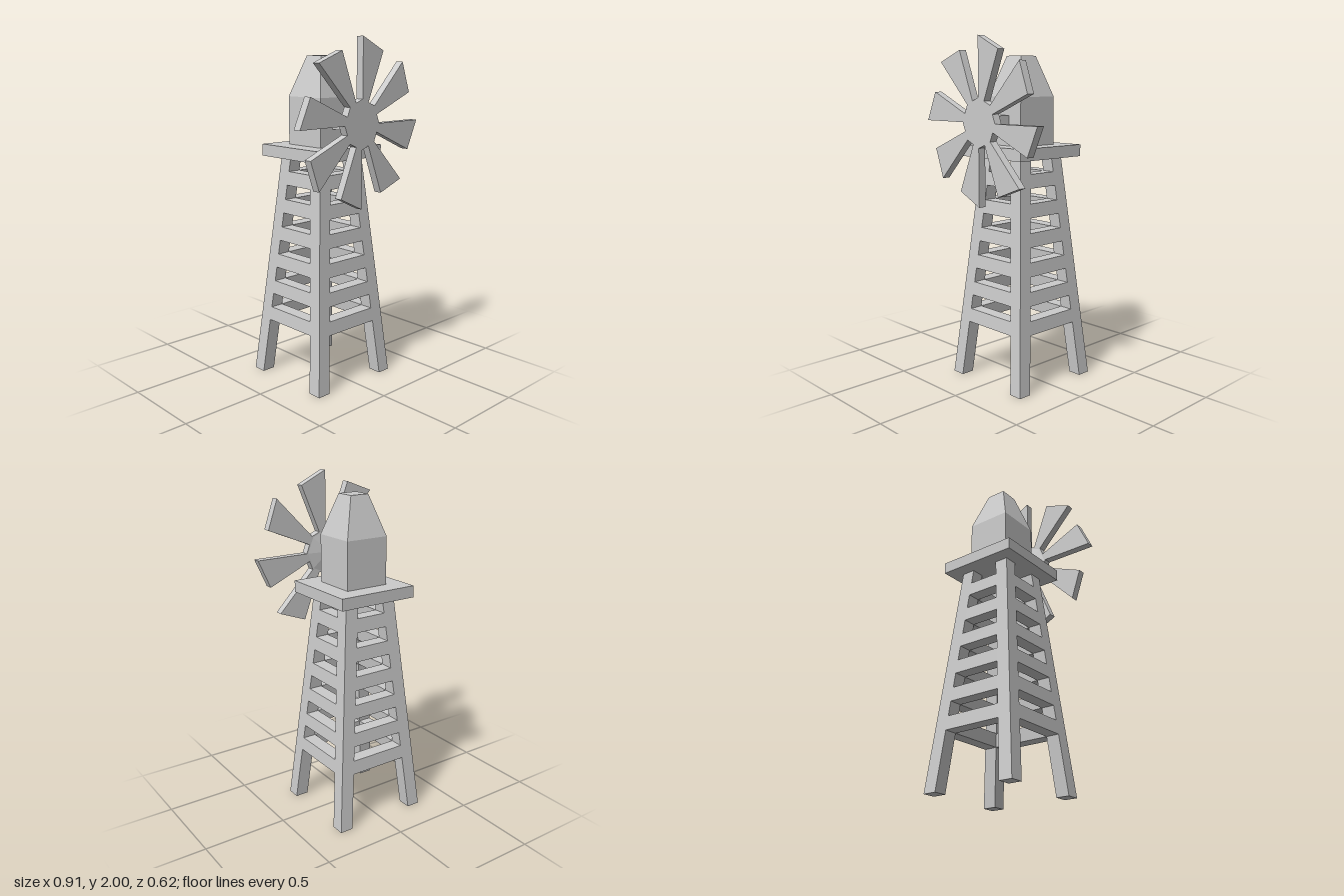
import * as THREE from 'three';

const material = new THREE.MeshStandardMaterial({ color: 0xcccccc, flatShading: true });

function addMesh(parent, name, geometry) {
  const mesh = new THREE.Mesh(geometry, material);
  mesh.name = name;
  parent.add(mesh);
  return mesh;
}

// Six-sided block between a lower and an upper rectangle, each [xMin, xMax, zMin, zMax]
function block(y0, y1, lower, upper) {
  const geo = new THREE.BoxGeometry(1, 1, 1);
  const p = geo.attributes.position;
  for (let i = 0; i < p.count; i++) {
    const top = p.getY(i) > 0;
    const r = top ? upper : lower;
    p.setXYZ(i, p.getX(i) < 0 ? r[0] : r[1], top ? y1 : y0, p.getZ(i) < 0 ? r[2] : r[3]);
  }
  geo.computeVertexNormals();
  return geo;
}

const square = (h) => [-h, h, -h, h];

export function createModel() {
  const model = new THREE.Group();
  model.name = 'windmill';

  // Tower, cabin and roof share one axis slightly behind the origin
  const tower = new THREE.Group();
  tower.name = 'tower';
  tower.position.z = -0.02;
  model.add(tower);

  const legTop = 1.33, legWidth = 0.08;
  const outer = (y) => 0.29 - (0.127 * y) / legTop;
  const inner = (y) => outer(y) - legWidth;
  const legRect = (y) => [inner(y), outer(y), inner(y), outer(y)];
  const rungRect = (y) => [-inner(y), inner(y), inner(y), outer(y)];

  // Four leaning legs and six rungs on each side
  for (let side = 0; side < 4; side++) {
    const turn = (side * Math.PI) / 2;
    addMesh(tower, 'leg', block(0, legTop, legRect(0), legRect(legTop))).rotation.y = turn;
    for (let k = 0; k < 6; k++) {
      const y0 = 0.335 + k * 0.165, y1 = y0 + 0.08;
      addMesh(tower, 'rung', block(y0, y1, rungRect(y0), rungRect(y1))).rotation.y = turn;
    }
  }

  addMesh(tower, 'platform', block(1.325, 1.393, square(0.243), square(0.243)));
  addMesh(tower, 'cabin', block(1.393, 1.668, square(0.132), square(0.132)));
  addMesh(tower, 'roof', block(1.668, 1.897, square(0.132), square(0.058)));

  // Shaft and rotor, the rotor a little narrower than tall
  const rotor = new THREE.Group();
  rotor.name = 'rotor';
  rotor.position.y = 1.528;
  model.add(rotor);

  addMesh(rotor, 'shaft', new THREE.BoxGeometry(0.074, 0.074, 0.15)).position.z = 0.175;

  const hub = addMesh(rotor, 'hubCone',
    new THREE.CylinderGeometry(0.13, 0.048, 0.014, 8).rotateX(Math.PI / 2));
  hub.position.z = 0.253;
  hub.scale.x = 0.963;

  // One outline: each blade has a radial edge and a flared edge
  const blade = [[0, 0.139], [0, 0.472], [0.166, 0.395], [0.048, 0.12]];
  const outline = [];
  for (let i = 0; i < 8; i++) {
    for (const [x, y] of blade) {
      outline.push(new THREE.Vector2(x, y).rotateAround(new THREE.Vector2(), (-i * Math.PI) / 4));
    }
  }
  const wheel = addMesh(rotor, 'bladeWheel',
    new THREE.ExtrudeGeometry(new THREE.Shape(outline), { depth: 0.047, bevelEnabled: false }));
  wheel.position.z = 0.26;
  wheel.scale.x = 0.963;

  return model;
}
